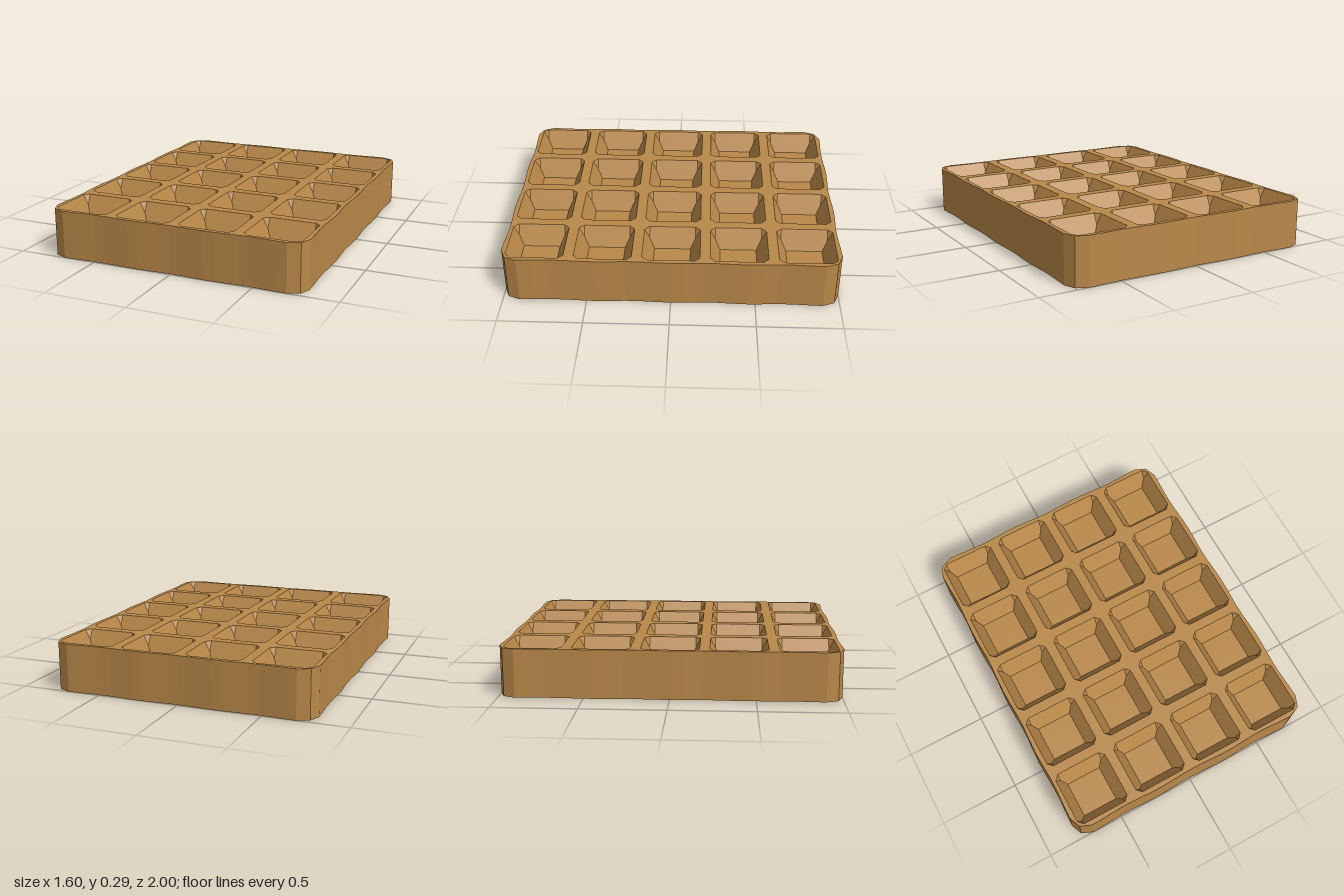
import * as THREE from 'three';

const H = 0.29, DEPTH = 0.12, HALF_X = 0.8, HALF_Z = 1;
const CORNER = 0.1;        // radius of the slab corners
const PIT = 0.14;          // pit corner centre, measured from the pit centre
const RIM = 0.03, TAPER = 0.06;

// Slightly wavy outline with two-facet corners, counter-clockwise in (x, z)
function outline() {
  const pts = [];
  const ax = HALF_X - CORNER, az = HALF_Z - CORNER;
  const corners = [[ax, az], [-ax, az], [-ax, -az], [ax, -az]];
  const wave = (t) => 0.009 * (0.5 - 0.5 * Math.cos(t * Math.PI * 2));
  corners.forEach(([cx, cz], i) => {
    for (let k = 0; k <= 2; k++) {
      const a = (i + k / 2) * Math.PI / 2;
      pts.push(new THREE.Vector2(cx + CORNER * Math.cos(a), cz + CORNER * Math.sin(a)));
    }
    // Wavy straight edge to the next corner
    const [nx, nz] = corners[(i + 1) % 4];
    const a = (i + 1) * Math.PI / 2, n = 20, cycles = i % 2 ? 4 : 3;
    for (let k = 1; k < n; k++) {
      const t = k / n, r = CORNER - wave(t * cycles);
      pts.push(new THREE.Vector2(
        cx + (nx - cx) * t + r * Math.cos(a),
        cz + (nz - cz) * t + r * Math.sin(a)));
    }
  });
  return pts;
}

// Eight-point pit loop; a negative radius folds the corners inward
function pitLoop(cx, cz, r) {
  const pts = [];
  [[1, 1], [-1, 1], [-1, -1], [1, -1]].forEach(([sx, sz], i) => {
    for (let k = 0; k < 2; k++) {
      const a = (i + k) * Math.PI / 2;
      pts.push(new THREE.Vector2(
        cx + sx * PIT + r * Math.round(Math.cos(a)),
        cz + sz * PIT + r * Math.round(Math.sin(a))));
    }
  });
  return pts;
}

// Mirror a face for the underside by flipping its height and corner order
function placed(tris, top) {
  const pos = [];
  for (const [a, b, c] of tris) {
    for (const p of top ? [a, b, c] : [a, c, b]) pos.push(p[0], top ? p[1] : H - p[1], p[2]);
  }
  const g = new THREE.BufferGeometry();
  g.setAttribute('position', new THREE.Float32BufferAttribute(pos, 3));
  g.computeVertexNormals();
  return g;
}

// Flat grid face with an opening for every pit
function faceTriangles(edge, pits) {
  const holes = pits.map(([x, z]) => pitLoop(x, z, RIM).reverse());
  const all = [...edge, ...holes.flat()];
  return THREE.ShapeUtils.triangulateShape(edge, holes).map(t => {
    const [a, b, c] = t.map(i => [all[i].x, H, all[i].y]);
    const up = (b[2] - a[2]) * (c[0] - a[0]) - (b[0] - a[0]) * (c[2] - a[2]);
    return up > 0 ? [a, b, c] : [a, c, b];
  });
}

// Tapered walls and floor of one pit, facing into the pit
function pitTriangles(x, z) {
  const tris = [], low = H - DEPTH;
  const upper = pitLoop(x, z, RIM).map(p => [p.x, H, p.y]);
  const lower = pitLoop(x, z, RIM - TAPER).map(p => [p.x, low, p.y]);
  for (let i = 0; i < 8; i++) {
    const j = (i + 1) % 8;
    tris.push([upper[i], lower[j], upper[j]], [upper[i], lower[i], lower[j]]);
    tris.push([[x, low, z], lower[j], lower[i]]);
  }
  return tris;
}

export function createModel() {
  const group = new THREE.Group();
  group.name = 'waffle';
  const batter = new THREE.MeshStandardMaterial({ color: 0xb98849 });
  batter.name = 'golden batter';
  const add = (name, geometry) => {
    const mesh = new THREE.Mesh(geometry, batter);
    mesh.name = name;
    group.add(mesh);
  };

  const edge = outline();
  const pits = [];
  for (let i = 0; i < 4; i++) {
    for (let j = 0; j < 5; j++) pits.push([-0.6 + i * 0.4, -0.8 + j * 0.4]);
  }

  // Outer side wall
  const side = [];
  edge.forEach((p, i) => {
    const q = edge[(i + 1) % edge.length];
    const a = [p.x, 0, p.y], b = [q.x, 0, q.y], c = [q.x, H, q.y], d = [p.x, H, p.y];
    side.push([a, c, b], [a, d, c]);
  });
  add('sideWall', placed(side, true));

  // Grid and pits on both faces
  const face = faceTriangles(edge, pits);
  const wells = pits.flatMap(([x, z]) => pitTriangles(x, z));
  for (const top of [true, false]) {
    const prefix = top ? 'top' : 'bottom';
    add(prefix + 'Grid', placed(face, top));
    add(prefix + 'Pits', placed(wells, top));
  }
  return group;
}
